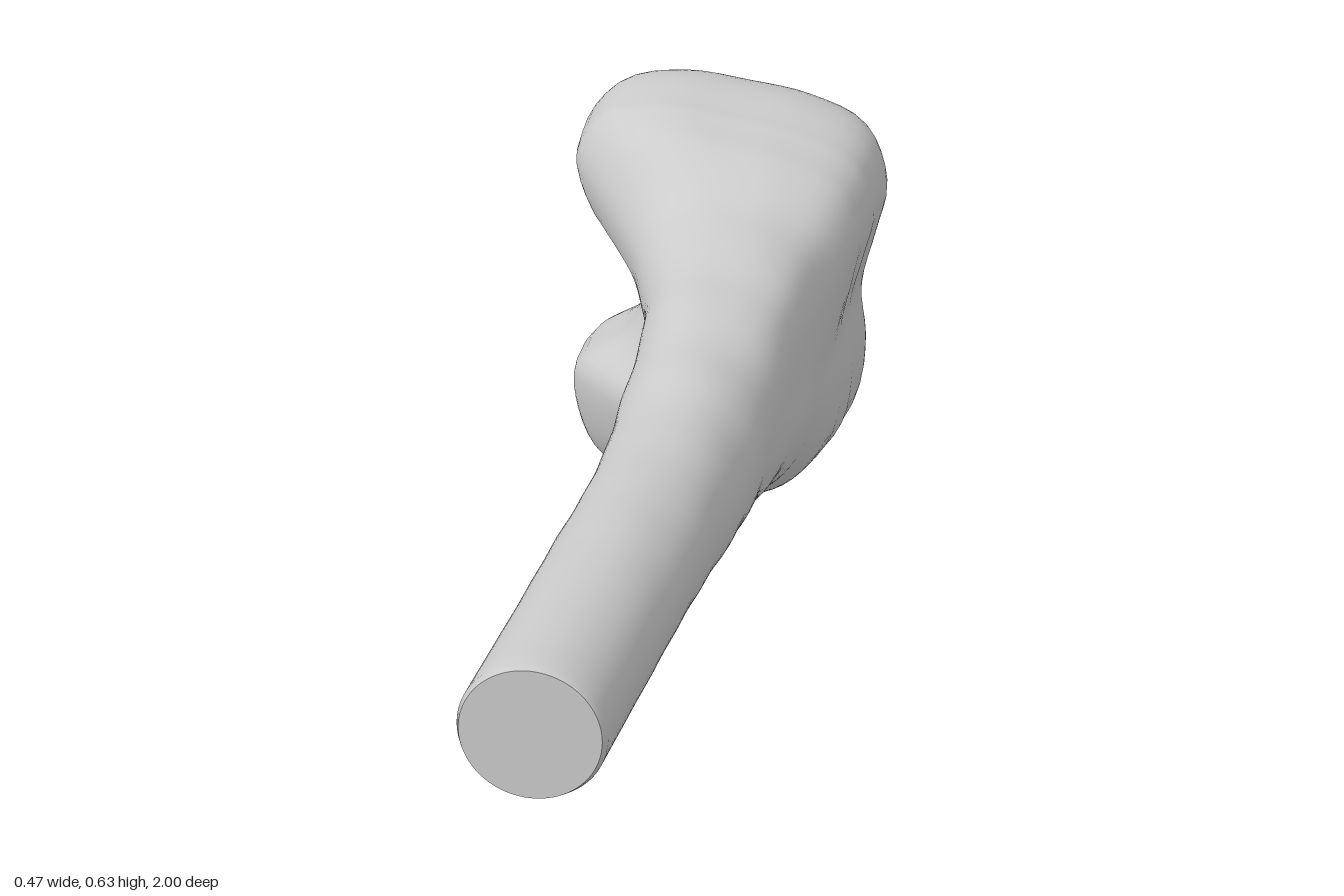
import * as THREE from 'three';

const SIDES = 80;

// Stations along the bone: z, xMin, xMax, yMin, yMax, blend (0 = round shaft, 1 = two-lobed head)
const stations = [
  [0.985, 0.003, 0.235, 0.364, 0.587, 0],
  [0.6, 0.004, 0.23, 0.345, 0.562, 0],
  [0.3, 0, 0.224, 0.32, 0.537, 0],
  [0, -0.012, 0.216, 0.268, 0.513, 0.05],
  [-0.2, -0.03, 0.21, 0.232, 0.52, 0.15],
  [-0.4, -0.05, 0.21, 0.172, 0.538, 0.35],
  [-0.5, -0.075, 0.21, 0.127, 0.545, 0.5],
  [-0.6, -0.115, 0.215, 0.077, 0.563, 0.7],
  [-0.7, -0.185, 0.222, 0.03, 0.603, 0.92],
  [-0.77, -0.23, 0.225, 0.007, 0.62, 1],
  [-0.84, -0.235, 0.225, 0, 0.623, 1],
];

// Head outline in a -1..1 box, anticlockwise from +x, notched on the right side
const headOutline = new THREE.CatmullRomCurve3([
  [0.84, 0.02], [0.93, 0.3], [1, 0.55], [0.88, 0.8], [0.5, 0.93],
  [0, 0.98], [-0.45, 1], [-0.82, 0.92], [-1, 0.7], [-0.9, 0.42],
  [-0.48, 0.08], [-0.66, -0.24], [-1, -0.45], [-0.98, -0.7], [-0.82, -0.92],
  [-0.4, -0.97], [0.12, -1], [0.5, -0.88], [0.78, -0.62], [0.86, -0.28],
].map(([u, v]) => new THREE.Vector3(u, v, 0)), true);

const centres = new THREE.CatmullRomCurve3(stations.map(([z, x0, x1, y0, y1]) =>
  new THREE.Vector3((x0 + x1) / 2, (y0 + y1) / 2, z)));
const sizes = new THREE.CatmullRomCurve3(stations.map(([, x0, x1, y0, y1, w]) =>
  new THREE.Vector3((x1 - x0) / 2, (y1 - y0) / 2, w)));

// Closed-ring skin: each row is one loop of SIDES points
function skin(rows) {
  const index = [];
  for (let r = 0; r < rows.length - 1; r++) {
    for (let i = 0; i < SIDES; i++) {
      const j = (i + 1) % SIDES;
      const a = r * SIDES + i, b = r * SIDES + j, c = a + SIDES, d = b + SIDES;
      index.push(a, c, b, b, c, d);
    }
  }
  const geometry = new THREE.BufferGeometry().setFromPoints(rows.flat());
  geometry.setIndex(index);
  geometry.computeVertexNormals();
  return geometry;
}

function section(t, scale = 1) {
  const c = centres.getPoint(t), s = sizes.getPoint(t);
  return Array.from({ length: SIDES }, (_, i) => {
    const a = (i / SIDES) * Math.PI * 2;
    const p = headOutline.getPoint(i / SIDES);
    // slight unevenness of the shaft surface, fading out at both ends
    const lump = 1 + 0.02 * Math.sin(23 * c.z + 3 * a) * Math.sin(11 * c.z - 2 * a) * Math.sin(Math.PI * t);
    const u = THREE.MathUtils.lerp(Math.cos(a), p.x, s.z) * scale * lump;
    const v = THREE.MathUtils.lerp(Math.sin(a), p.y, s.z) * scale * lump;
    return new THREE.Vector3(c.x + u * s.x, c.y + v * s.y, c.z);
  });
}

export function createModel() {
  const group = new THREE.Group();
  group.name = 'bone';
  const material = new THREE.MeshStandardMaterial({ color: 0xcccccc, side: THREE.DoubleSide });

  // Shaft flaring into the head, with a small bevel at the cut end
  const rows = [section(0, 0.95).map((p) => p.setZ(1))];
  for (let r = 0; r <= 70; r++) rows.push(section(r / 70));

  // Rounded back of the head: the outline shrinks onto a spine joining the two lobes
  const rim = rows[rows.length - 1];
  const centre = centres.getPoint(1), size = sizes.getPoint(1);
  for (let k = 1; k <= 14; k++) {
    const a = (k / 14) * Math.PI / 2;
    const shrink = k === 14 ? 0 : Math.cos(a) ** 0.75;
    rows.push(rim.map((p) => {
      const v = (p.y - centre.y) / size.y;
      const spineY = centre.y + THREE.MathUtils.clamp(v, -0.6, 0.6) * size.y;
      const y = spineY + (p.y - spineY) * shrink;
      const h = (y - centre.y) / size.y;
      const depth = 0.075 + (h > 0 ? 0.06 : 0.085) * THREE.MathUtils.smoothstep(Math.abs(h), 0.03, 0.55);
      const x = centre.x + (p.x - centre.x) * shrink;
      return new THREE.Vector3(x, y, centre.z - depth * Math.sin(a) ** 0.9);
    }));
  }
  const body = new THREE.Mesh(skin(rows), material);
  body.name = 'shaftAndHead';
  group.add(body);

  // Flat cut end of the shaft
  const end = new THREE.Mesh(new THREE.CircleGeometry(1, SIDES), material);
  const c = centres.getPoint(0), s = sizes.getPoint(0);
  end.scale.set(s.x * 0.95, s.y * 0.95, 1);
  end.position.set(c.x, c.y, 1);
  end.name = 'cutEnd';
  group.add(end);

  return group;
}
